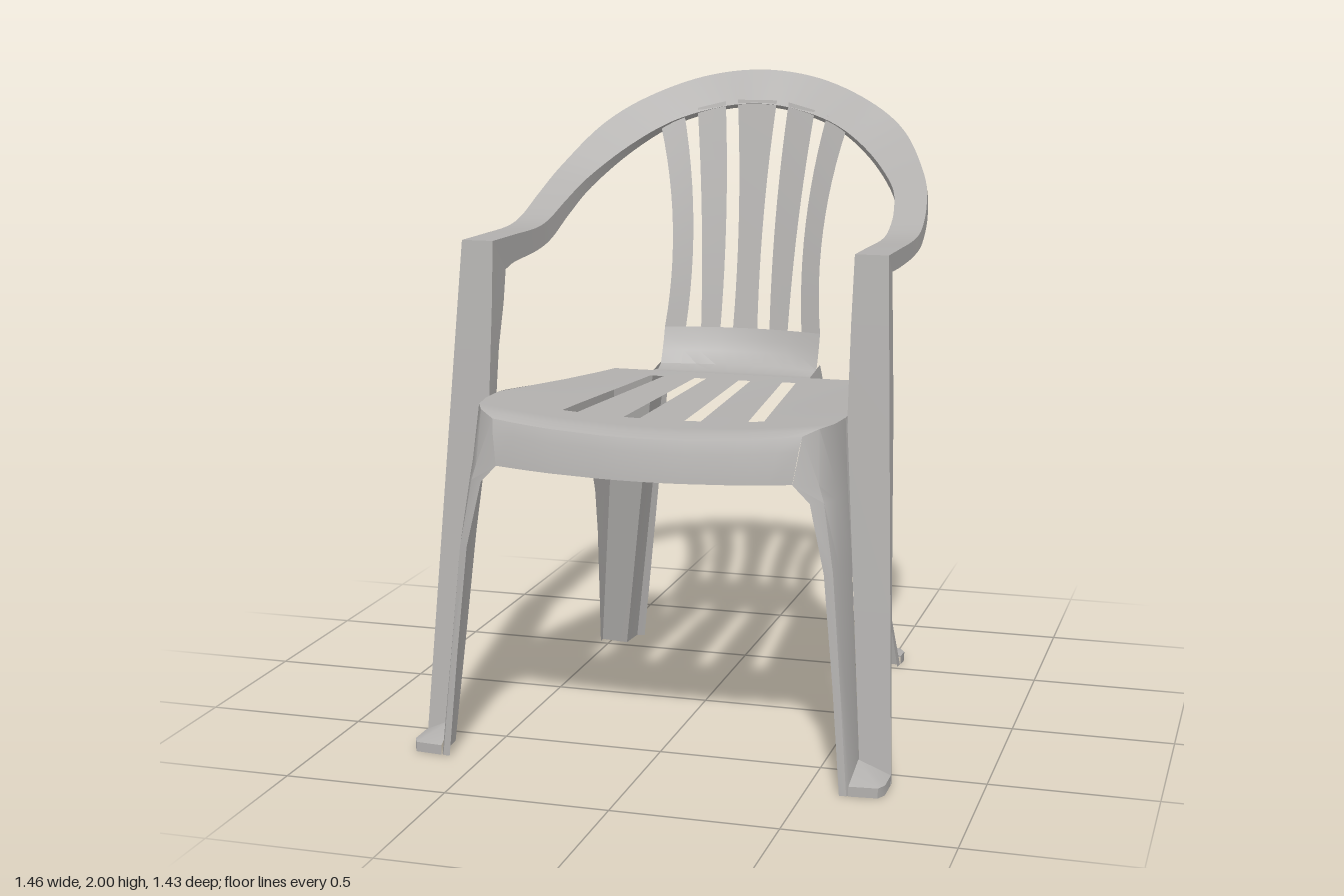
import * as THREE from 'three';
import { toCreasedNormals } from 'three/addons/utils/BufferGeometryUtils.js';

const plastic = new THREE.MeshStandardMaterial({ color: 0xb2b0ae, side: THREE.DoubleSide });
plastic.name = 'grey plastic';

const lerp = THREE.MathUtils.lerp;
const clamp01 = (v) => THREE.MathUtils.clamp(v, 0, 1);
const mix = (a, b, t) => a.map((v, i) => lerp(v, b[i], t));

// Sheet through rows of points; skip(row, column) leaves a hole
function sheet(name, rows, skip = () => false) {
  const n = rows[0].length, index = [];
  for (let r = 0; r < rows.length - 1; r++) {
    for (let c = 0; c < n - 1; c++) {
      if (skip(r, c)) continue;
      const a = r * n + c, b = a + 1, d = a + n, e = d + 1;
      index.push(a, d, b, b, d, e);
    }
  }
  const geometry = new THREE.BufferGeometry();
  geometry.setAttribute('position', new THREE.Float32BufferAttribute(rows.flat(2), 3));
  geometry.setIndex(index);
  const mesh = new THREE.Mesh(toCreasedNormals(geometry, 0.65), plastic);
  mesh.name = name;
  return mesh;
}

// Dished seat height
const seatY = (x, z) => 1.026 + 0.037 * clamp01((z + 0.3) / 0.6) * (x / 0.55) ** 2;

// Seat rows: [z, half width]
const seatStations = [[-0.3, 0.4], [-0.2, 0.423], [0, 0.47], [0.2, 0.515], [0.37, 0.555],
  [0.47, 0.557], [0.56, 0.545], [0.62, 0.515], [0.645, 0.47]];
const seatRows = seatStations.map(([z, hw], i) => {
  const t = (z + 0.2) / 0.67;
  const e = [0.055 + 0.015 * t, 0.094 + 0.026 * t, 0.2 + 0.065 * t, 0.245 + 0.068 * t];
  const half = [...e, (e[3] + hw) / 2, hw];
  const bulge = 0.03 * clamp01((z - 0.47) / 0.175);
  const drop = i === seatStations.length - 1 ? 0.015 : 0;
  return [...half.map((x) => -x).reverse(), 0, ...half].map((x) =>
    [x, seatY(x, z) - drop, z + bulge * (1 - (x / hw) ** 2)]);
});

function buildSeat() {
  const g = new THREE.Group();
  g.name = 'seat';
  g.add(sheet('seatPanel', seatRows, (r, c) => {
    const k = c >= 6 ? c - 6 : 5 - c;
    return r >= 1 && r < 5 && (k === 1 || k === 3);
  }));
  // Front apron hanging from the seat rim
  const rim = seatRows.at(-1);
  const hem = rim.map(([x]) => [x * 0.957, 0.89 + 0.012 * (x / 0.45) ** 2, 0.705 - 0.028 * (x / 0.47) ** 2]);
  const fold = rim.map((p, i) => {
    const m = mix(p, hem[i], 0.3);
    return [m[0], m[1], m[2] + 0.006];
  });
  g.add(sheet('frontApron', [rim, fold, hem]));
  return g;
}

// Back slat edges, from the middle outwards, at three heights
const edgeLow = [0.042, 0.085, 0.15, 0.2, 0.268];
const edgeMid = [0.04, 0.083, 0.16, 0.19, 0.255];
const edgeTop = [0.063, 0.105, 0.2, 0.245, 0.33];
function slatEdge(i, y) {
  const [a, b, c] = [1.15, 1.4, 1.85];
  return edgeLow[i] * (y - b) * (y - c) / ((a - b) * (a - c))
    + edgeMid[i] * (y - a) * (y - c) / ((b - a) * (b - c))
    + edgeTop[i] * (y - a) * (y - b) / ((c - a) * (c - b));
}

function buildBackrest() {
  const g = new THREE.Group();
  g.name = 'backrest';
  // Curved join between seat and slats: [z, y, side wrap]
  const join = [[-0.3, 1.026, 0], [-0.37, 1.02, 0.008], [-0.42, 1.034, 0.028],
    [-0.455, 1.075, 0.043], [-0.472, 1.11, 0.045], [-0.485, 1.15, 0.045]];
  const xs = [...edgeLow.map((x) => -x).reverse(), 0, ...edgeLow];
  g.add(sheet('lowerBack', join.map(([z, y, k]) => xs.map((x) => [x, y, z + k * (x / 0.268) ** 2]))));
  // Five slats with open slots between
  const point = (i, side, s) => {
    const y = lerp(1.15, 1.905 - 0.8 * edgeTop[i] ** 2, s);
    const x = slatEdge(i, y);
    return [side * x, y, -0.485 - 0.2 * (y - 1.15) + 0.045 * (x / slatEdge(4, y)) ** 2];
  };
  const slat = (a, b) => {
    const rows = [];
    for (let r = 0; r <= 12; r++) rows.push([point(...a, r / 12), point(...b, r / 12)]);
    g.add(sheet('slat', rows));
  };
  slat([0, -1], [0, 1]);
  for (const s of [-1, 1]) {
    slat([1, s], [2, s]);
    slat([3, s], [4, s]);
  }
  return g;
}

// Arms and top rail: outer edge, inner edge, outer flange [dy, dz], inner flange [dy, dz]
function buildRail() {
  const stations = [
    [[0.66, 1.53, 0.386], [0.56, 1.53, 0.386], [-0.055, -0.055], [-0.1, -0.105]],
    [[0.66, 1.528, 0.2], [0.56, 1.528, 0.2], [-0.055, 0], [-0.085, 0]],
    [[0.66, 1.528, 0], [0.56, 1.526, 0], [-0.05, 0], [-0.073, 0]],
    [[0.66, 1.548, -0.13], [0.558, 1.543, -0.12], [-0.046, -0.01], [-0.066, -0.015]],
    [[0.648, 1.61, -0.27], [0.547, 1.59, -0.25], [-0.038, -0.02], [-0.05, -0.026]],
    [[0.614, 1.69, -0.4], [0.512, 1.655, -0.38], [-0.03, -0.024], [-0.036, -0.028]],
    [[0.52, 1.815, -0.545], [0.41, 1.75, -0.5], [-0.022, -0.022], [-0.024, -0.024]],
    [[0.386, 1.905, -0.625], [0.28, 1.83, -0.58], [-0.015, -0.018], [-0.016, -0.02]],
    [[0.2, 1.975, -0.685], [0.13, 1.876, -0.622], [-0.012, -0.016], [-0.012, -0.016]],
    [[0, 2, -0.703], [0, 1.89, -0.63], [-0.012, -0.016], [-0.012, -0.016]],
  ];
  const move = (p, [dy, dz]) => [p[0], p[1] + dy, p[2] + dz];
  const lines = [0, 1, 2, 3].map((k) => {
    const half = stations.map(([o, i, fo, fi]) => [move(o, fo), o, i, move(i, fi)][k]);
    const all = [...half, ...half.slice(0, -1).reverse().map(([x, y, z]) => [-x, y, z])];
    return new THREE.CatmullRomCurve3(all.map((p) => new THREE.Vector3(...p)), false, 'catmullrom', 0.5);
  });
  const rows = [];
  for (let i = 0; i <= 108; i++) rows.push(lines.map((c) => c.getPoint(i / 108).toArray()));
  return sheet('armsAndTopRail', rows);
}

// Foot: sloped toe filling the corner of a leg
function foot(apex, corners) {
  const at = (y) => corners.map(([x, z]) => [x, y, z]);
  return sheet('foot', [corners.map(() => apex), at(0.03), at(0)]);
}

function buildFrontLeg() {
  const g = new THREE.Group();
  g.name = 'frontLeg';
  // Upright: [y, outer flange depth, inner flange depth]
  const upright = [[1.33, 0.055, 0.1], [1.2, 0.057, 0.07], [1.05, 0.058, 0.06],
    [0.95, 0.05, 0.001], [0.5, 0.022, 0.001], [0, 0.004, 0.001]].map(([y, fo, fi]) => {
    const t = 1 - y / 1.53, z = 0.386 + 0.194 * t;
    const ox = 0.66 + 0.07 * t;
    const ix = y >= 1.05 ? 0.557 : lerp(0.637, 0.557, y / 1.05);
    return [[ox, y, z - fo], [ox, y, z], [ix, y, z], [ix, y, z - fi]];
  });
  upright.unshift([[0.66, 1.475, 0.331], [0.66, 1.53, 0.386], [0.56, 1.53, 0.386], [0.56, 1.43, 0.281]]);
  g.add(sheet('upright', upright));
  // Rounded corner panel running from the seat rim to the floor
  const corner = [
    seatRows.slice(-4).map((row) => row.at(-1)),
    [[0.563, 0.9, 0.466], [0.556, 0.9, 0.59], [0.522, 0.9, 0.65], [0.45, 0.902, 0.677]],
    [[0.567, 0.85, 0.472], [0.562, 0.85, 0.6], [0.537, 0.85, 0.652], [0.5, 0.85, 0.672]],
    [[0.587, 0.65, 0.498], [0.583, 0.65, 0.635], [0.57, 0.65, 0.672], [0.545, 0.65, 0.682]],
    [[0.612, 0.32, 0.539], [0.608, 0.32, 0.665], [0.598, 0.32, 0.69], [0.577, 0.32, 0.695]],
    [[0.637, 0, 0.58], [0.632, 0, 0.695], [0.624, 0, 0.708], [0.603, 0, 0.71]],
  ];
  g.add(sheet('cornerPanel', corner));
  g.add(foot([0.636, 0.075, 0.6], [[0.73, 0.585], [0.73, 0.67], [0.715, 0.7], [0.63, 0.708]]));
  return g;
}

function buildBackLeg() {
  const g = new THREE.Group();
  g.name = 'backLeg';
  const ridge = (y) => mix([0.535, 0, -0.545], [0.4, 1.026, -0.3], y / 1.026);
  const top = (x, z) => [x, seatY(x, z), z];
  // Side panel sweeping from the seat edge into the leg: [upper point, lower point]
  const side = [
    [top(0.555, 0.45), [0.558, 1.02, 0.44]],
    [top(0.555, 0.37), [0.562, 1.0, 0.36]],
    [top(0.546, 0.33), [0.56, 0.977, 0.31]],
    [top(0.511, 0.18), [0.528, 0.955, 0.18]],
    [top(0.47, 0), [0.497, 0.92, 0.03]],
    [top(0.437, -0.14), [0.473, 0.852, -0.115]],
    [top(0.421, -0.21), [0.466, 0.79, -0.19]],
    [top(0.409, -0.26), [0.47, 0.7, -0.25]],
    [ridge(1.026), [0.476, 0.6, -0.305]],
    [ridge(0.7), [0.492, 0.44, -0.375]],
    [ridge(0.35), [0.514, 0.2, -0.453]],
    [ridge(0), [0.532, 0, -0.515]],
  ];
  g.add(sheet('sidePanel', side));
  // Stepped rear faces of the leg
  const high = [[0.4, 1.026, -0.3], [0.267, 1.026, -0.3], [0.268, 1.045, -0.445], [0.255, 1.03, -0.455]];
  const low = [[0.535, 0, -0.545], [0.44, 0, -0.53], [0.432, 0, -0.625], [0.405, 0, -0.627]];
  g.add(sheet('rearFaces', [high, high.map((p, i) => mix(p, low[i], 0.5)), low]));
  g.add(foot([0.438, 0.075, -0.545], [[0.537, -0.545], [0.54, -0.595], [0.522, -0.625], [0.432, -0.63]]));
  return g;
}

export function createModel() {
  const chair = new THREE.Group();
  chair.name = 'armchair';
  chair.add(buildSeat(), buildBackrest(), buildRail());
  for (const side of [1, -1]) {
    for (const leg of [buildFrontLeg(), buildBackLeg()]) {
      leg.scale.x = side;
      chair.add(leg);
    }
  }
  return chair;
}
